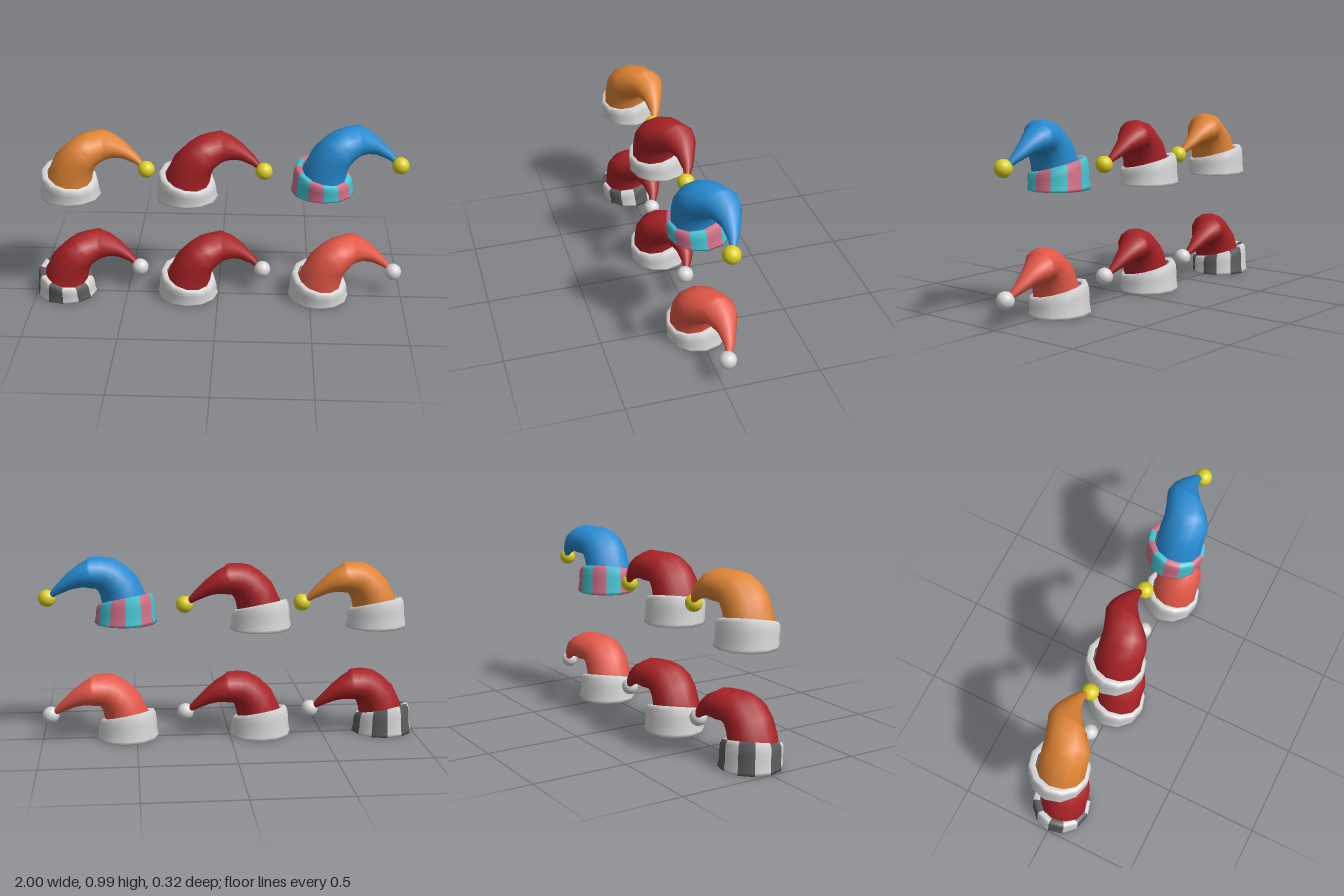
import * as THREE from 'three';

const SIDES = 12;
const mat = (name, color) => Object.assign(new THREE.MeshStandardMaterial({ color }), { name });

// Skin a stack of closed rings; one material group per column so columns can be striped
function loft(rings, stripes) {
  const pos = [], index = [];
  rings.forEach(ring => ring.forEach(p => pos.push(...p)));
  const g = new THREE.BufferGeometry();
  for (let j = 0; j < SIDES; j++) {
    const k = (j + 1) % SIDES, start = index.length;
    for (let i = 0; i < rings.length - 1; i++) {
      const a = i * SIDES, b = a + SIDES;
      index.push(a + j, b + j, a + k, a + k, b + j, b + k);
    }
    if (stripes) g.addGroup(start, index.length - start, j % 2);
  }
  g.setAttribute('position', new THREE.Float32BufferAttribute(pos, 3));
  g.setIndex(index);
  g.computeVertexNormals();
  return g;
}

const ringOf = fn => Array.from({ length: SIDES }, (_, j) => {
  const a = j / SIDES * Math.PI * 2;
  return fn(Math.cos(a), Math.sin(a));
});

// Brim: hollow rolled band whose top edge rises towards the back and the right
// profile rows: radius x, radius z, height as a share of the band's height
function brimGeometry() {
  const profile = [
    [0.0005, 0.0005, 0.72], [0.112, 0.112, 0.7], [0.128, 0.128, 0.15], [0.138, 0.136, 0.02],
    [0.163, 0.157, 0], [0.163, 0.157, 0.1], [0.156, 0.154, 0.35], [0.155, 0.157, 0.6],
    [0.15, 0.156, 0.86], [0.138, 0.147, 1], [0.115, 0.12, 0.97],
  ];
  return loft(profile.map(([rx, rz, t]) => ringOf((c, s) => {
    const x = rx * c, z = rz * s;
    return [x, t * (0.125 - 0.19 * x - 0.2 * z), z + 0.01 * t];
  })), true);
}

// Drooping cone: each row is outer x, y of the bend, inner x, y, centre z, half depth
function coneGeometry() {
  const rows = [
    [-0.118, 0.10, 0.122, 0.06, 0.02, 0.125],
    [-0.105, 0.15, 0.122, 0.10, 0.02, 0.125],
    [-0.06, 0.245, 0.13, 0.14, 0.02, 0.123],
    [0.005, 0.307, 0.14, 0.165, 0.02, 0.122],
    [0.06, 0.34, 0.147, 0.175, 0.01, 0.12],
    [0.11, 0.351, 0.157, 0.183, -0.005, 0.115],
    [0.178, 0.355, 0.178, 0.19, -0.035, 0.102],
    [0.193, 0.342, 0.2, 0.196, -0.046, 0.092],
    [0.235, 0.322, 0.235, 0.198, -0.057, 0.075],
    [0.29, 0.28, 0.28, 0.19, -0.062, 0.05],
    [0.355, 0.215, 0.34, 0.165, -0.056, 0.028],
    [0.405, 0.15, 0.385, 0.14, -0.038, 0.012],
  ];
  return loft(rows.map(([ox, oy, ix, iy, cz, rz]) => ringOf((c, s) => [
    (ox + ix) / 2 + (ix - ox) / 2 * c,
    (oy + iy) / 2 + (iy - oy) / 2 * c,
    cz + rz * s,
  ])));
}

export function createModel() {
  const white = mat('white', 0xd6d6d6);
  const red = mat('red', 0xa82226);
  const coral = mat('coral', 0xe25746);
  const orange = mat('orange', 0xe08434);
  const blue = mat('blue', 0x268bd2);
  const yellow = mat('yellow', 0xdccf22);
  const pink = mat('pink', 0xd4708a);
  const teal = mat('teal', 0x44c6d4);
  const grey = mat('darkGrey', 0x5c5c5c);

  const brimGeo = brimGeometry();
  const coneGeo = coneGeometry();
  const ballGeo = new THREE.SphereGeometry(0.045, 20, 14);

  // name, x, y, cone, two brim colours, pompom
  const hats = [
    ['greyStripedHat', -0.835, 0, red, white, grey, white],
    ['redHat', -0.165, 0, red, white, white, white],
    ['coralHat', 0.548, 0, coral, white, white, white],
    ['orangeHat', -0.787, 0.585, orange, white, white, yellow],
    ['upperRedHat', -0.165, 0.585, red, white, white, yellow],
    ['blueHat', 0.548, 0.63, blue, teal, pink, yellow],
  ];

  const model = new THREE.Group();
  model.name = 'partyHats';
  for (const [name, x, y, cone, brimA, brimB, ball] of hats) {
    const hat = new THREE.Group();
    hat.name = name;
    hat.position.set(x, y, 0);
    const add = (part, geo, material) => {
      const m = new THREE.Mesh(geo, material);
      m.name = part;
      hat.add(m);
      return m;
    };
    add('brim', brimGeo, [brimA, brimB]);
    add('cone', coneGeo, cone);
    add('pompom', ballGeo, ball).position.set(0.405, 0.14, -0.028);
    model.add(hat);
  }
  return model;
}
